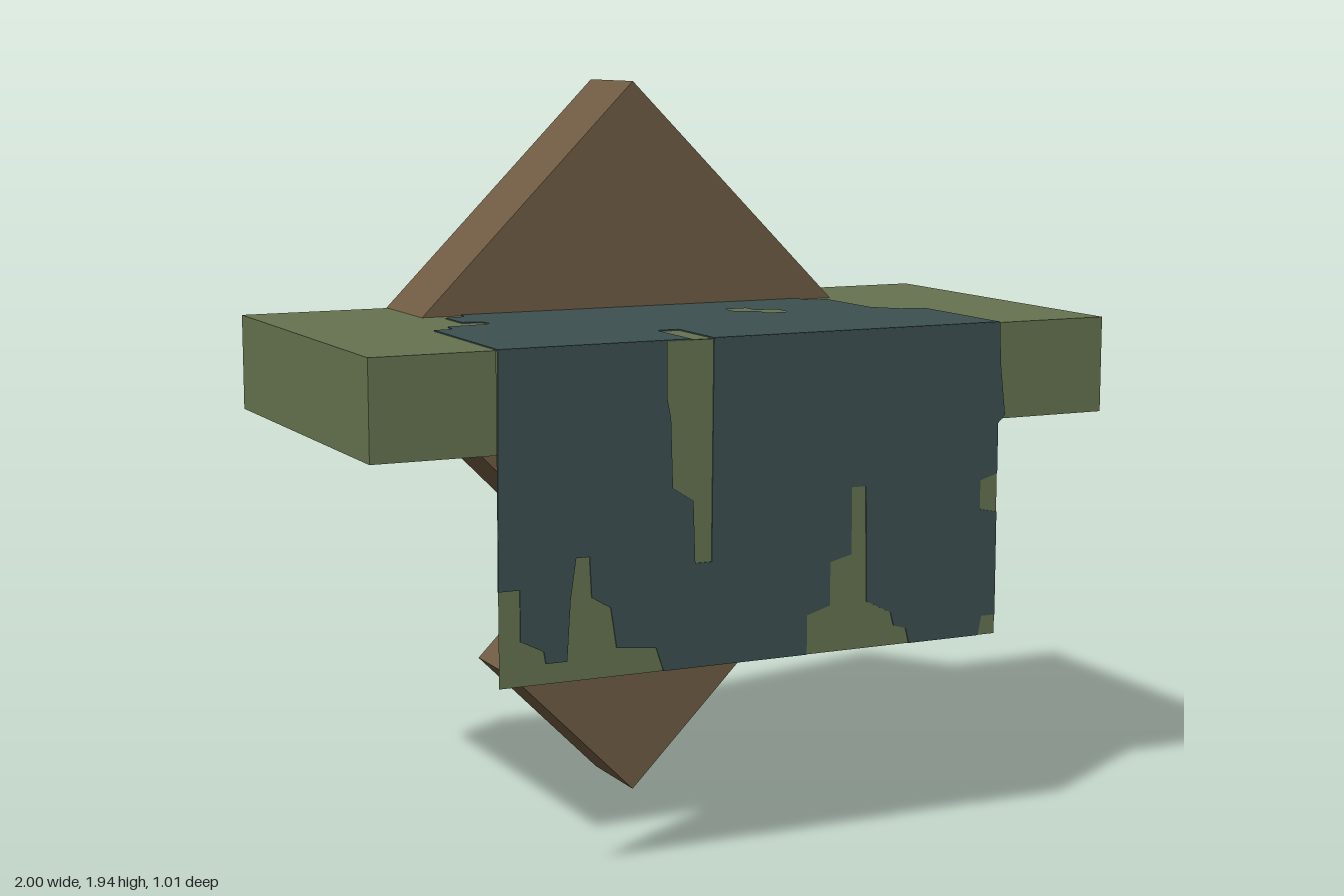
import * as THREE from 'three';

export function createModel() {
  const green = new THREE.MeshStandardMaterial({ color: 0x667350 });
  green.name = 'moss green';
  green.side = THREE.DoubleSide;
  const brown = new THREE.MeshStandardMaterial({ color: 0x705c43 });
  brown.name = 'wood brown';
  const teal = new THREE.MeshStandardMaterial({ color: 0x3d5051 });
  teal.name = 'dark teal';

  const model = new THREE.Group();
  model.name = 'model';

  function add(name, geometry, material, x = 0, y = 0, z = 0) {
    const mesh = new THREE.Mesh(geometry, material);
    mesh.name = name;
    mesh.position.set(x, y, z);
    model.add(mesh);
    return mesh;
  }
  const points = (list) => list.map(([x, y]) => new THREE.Vector2(x, y));
  const plate = (shape, depth) => new THREE.ExtrudeGeometry(shape, { depth, bevelEnabled: false });

  // Flat slab
  add('slab', new THREE.BoxGeometry(2, 0.247, 1), green, 0, 1.2135, 0);

  // Boards standing on a corner behind
  add('largeBoard', new THREE.BoxGeometry(1, 1, 0.275), brown, 0, 1.23, -0.37).rotation.z = Math.PI / 4;
  add('smallBlock', new THREE.BoxGeometry(0.5, 0.5, 0.25), brown, 0, 0.354, -0.37).rotation.z = Math.PI / 4;

  // Thin hanging sheet on the front
  add('hangingSheet', new THREE.PlaneGeometry(1.375, 0.807), green, -0.002, 0.9335, 0.504);

  // Ragged dripping patch, seen on both sides of the sheet
  const drip = new THREE.Shape(points([
    [-.685, 1.338], [-.69, .765], [-.635, .765], [-.635, .64], [-.575, .61], [-.57, .58],
    [-.515, .58], [-.505, .73], [-.49, .83], [-.455, .83], [-.45, .73], [-.4, .7],
    [-.385, .6], [-.28, .59], [-.26, .53], [.135, .53], [.135, .63], [.2, .65],
    [.2, .76], [.26, .775], [.26, .945], [.3, .945], [.305, .65], [.375, .615],
    [.385, .58], [.42, .57], [.43, .53], [.635, .53], [.645, .58], [.685, .58],
    [.685, .85], [.635, .86], [.635, .935], [.685, .95], [.685, 1.08], [.705, 1.1],
    [.69, 1.23], [.685, 1.338], [-.125, 1.338], [-.13, .79], [-.175, .79], [-.18, .945],
    [-.235, .98], [-.24, 1.15], [-.25, 1.2], [-.25, 1.338],
  ]));
  add('frontPatch', plate(drip, 0.006), teal, 0, 0, 0.501);

  // Patch on top of the slab, outlined in x and z
  const flip = (list) => points(list.map(([x, z]) => [x, -z]));
  const spill = new THREE.Shape(flip([
    [-.685, .506], [-.68, .07], [-.63, .065], [-.62, .01], [-.52, 0], [-.5, -.01],
    [-.505, -.055], [-.555, -.065], [-.555, -.18], [-.5, -.19], [-.49, -.24],
    [.495, -.24], [.5, -.19], [.56, -.175], [.565, .055], [.62, .12], [.685, .135],
    [.685, .506], [-.125, .506], [-.125, .31], [-.185, .31], [-.185, .506],
  ]));
  spill.holes.push(new THREE.Path(flip([
    [.19, -.06], [.25, -.06], [.25, -.01], [.31, .005], [.31, .065], [.25, .065],
    [.245, .01], [.19, -.01],
  ])));
  add('topPatch', plate(spill, 0.004).rotateX(-Math.PI / 2), teal, 0, 1.336, 0);

  return model;
}
